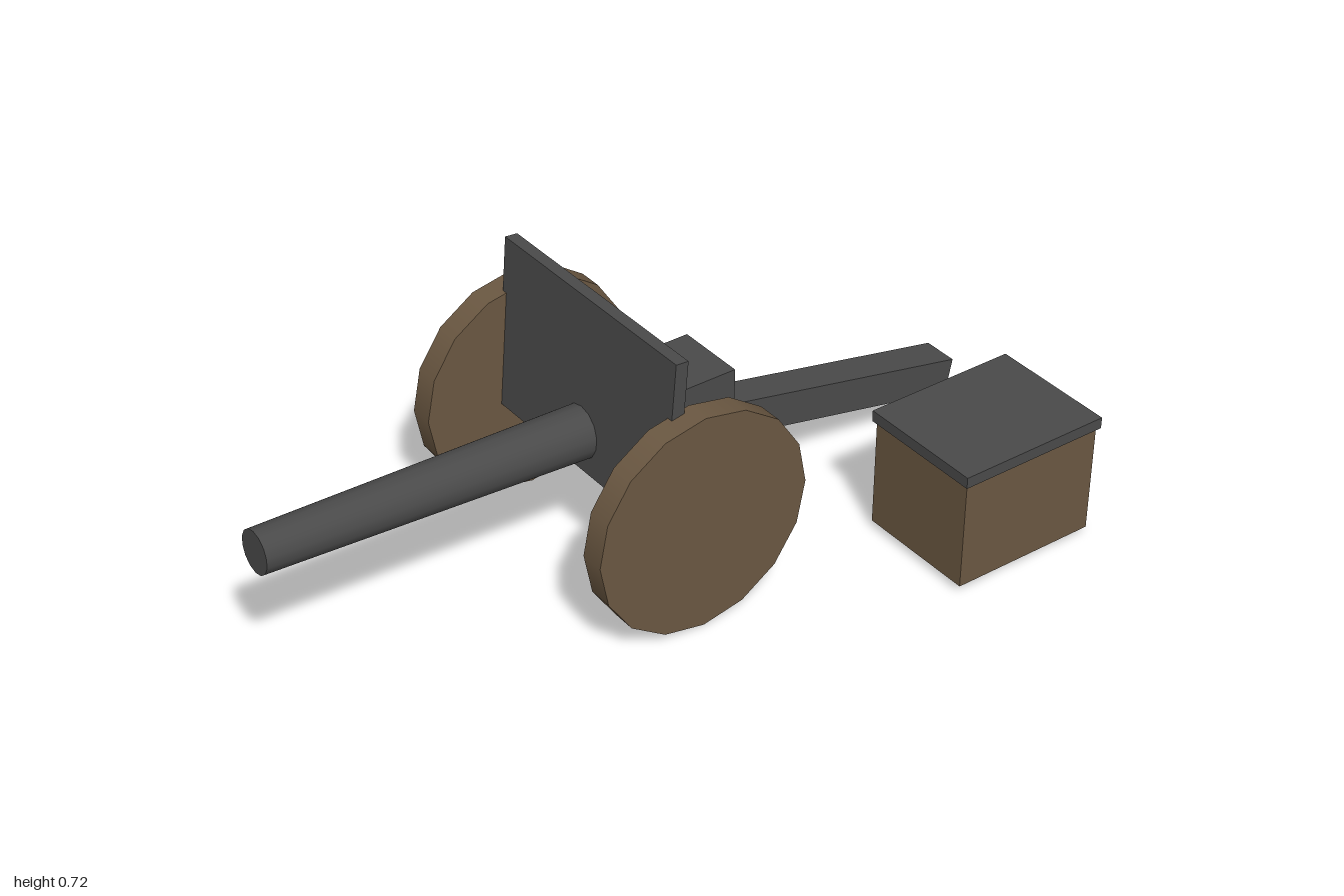
import * as THREE from 'three';

export function createModel() {
  const model = new THREE.Group();
  model.name = 'fieldGun';
  const steel = new THREE.MeshStandardMaterial({ name: 'dark steel', color: 0x4a4a4a });
  const wood = new THREE.MeshStandardMaterial({ name: 'brown wood', color: 0x6b5842 });

  function add(parent, name, geometry, material, x, y, z, tilt = 0) {
    const mesh = new THREE.Mesh(geometry, material);
    mesh.name = name;
    mesh.position.set(x, y, z);
    mesh.rotation.x = tilt;
    parent.add(mesh);
    return mesh;
  }
  const box = (w, h, d) => new THREE.BoxGeometry(w, h, d);

  // Gun carriage, offset to the model's right
  const gun = new THREE.Group();
  gun.name = 'gun';
  gun.position.x = -0.136;
  model.add(gun);

  // Solid disc wheels
  for (const [name, side] of [['leftWheel', 1], ['rightWheel', -1]]) {
    const disc = new THREE.CylinderGeometry(0.293, 0.293, 0.065, 16);
    add(gun, name, disc.rotateZ(Math.PI / 2), wood, side * 0.359, 0.293, 0.052);
  }

  // Shield leaning slightly back
  add(gun, 'shield', box(0.683, 0.456, 0.034), steel, 0, 0.491, 0.1, -0.08);

  // Tapered barrel, raised slightly toward the muzzle
  const barrel = new THREE.CylinderGeometry(0.056, 0.072, 1.05, 14);
  add(gun, 'barrel', barrel, steel, 0, 0.375, 0.473, Math.PI / 2 - 0.035);

  // Breech block and sloping trail
  add(gun, 'breech', box(0.192, 0.172, 0.287), steel, 0, 0.353, -0.113);
  add(gun, 'trail', box(0.096, 0.094, 0.9), steel, 0, 0.199, -0.55, -0.2);

  // Ammunition crate with overhanging lid
  const crate = new THREE.Group();
  crate.name = 'ammunitionCrate';
  crate.position.set(0.352, 0, -0.715);
  model.add(crate);
  add(crate, 'crateBody', box(0.327, 0.294, 0.406), wood, 0, 0.166, 0);
  add(crate, 'crateLid', box(0.344, 0.03, 0.422), steel, 0, 0.328, 0);

  return model;
}
